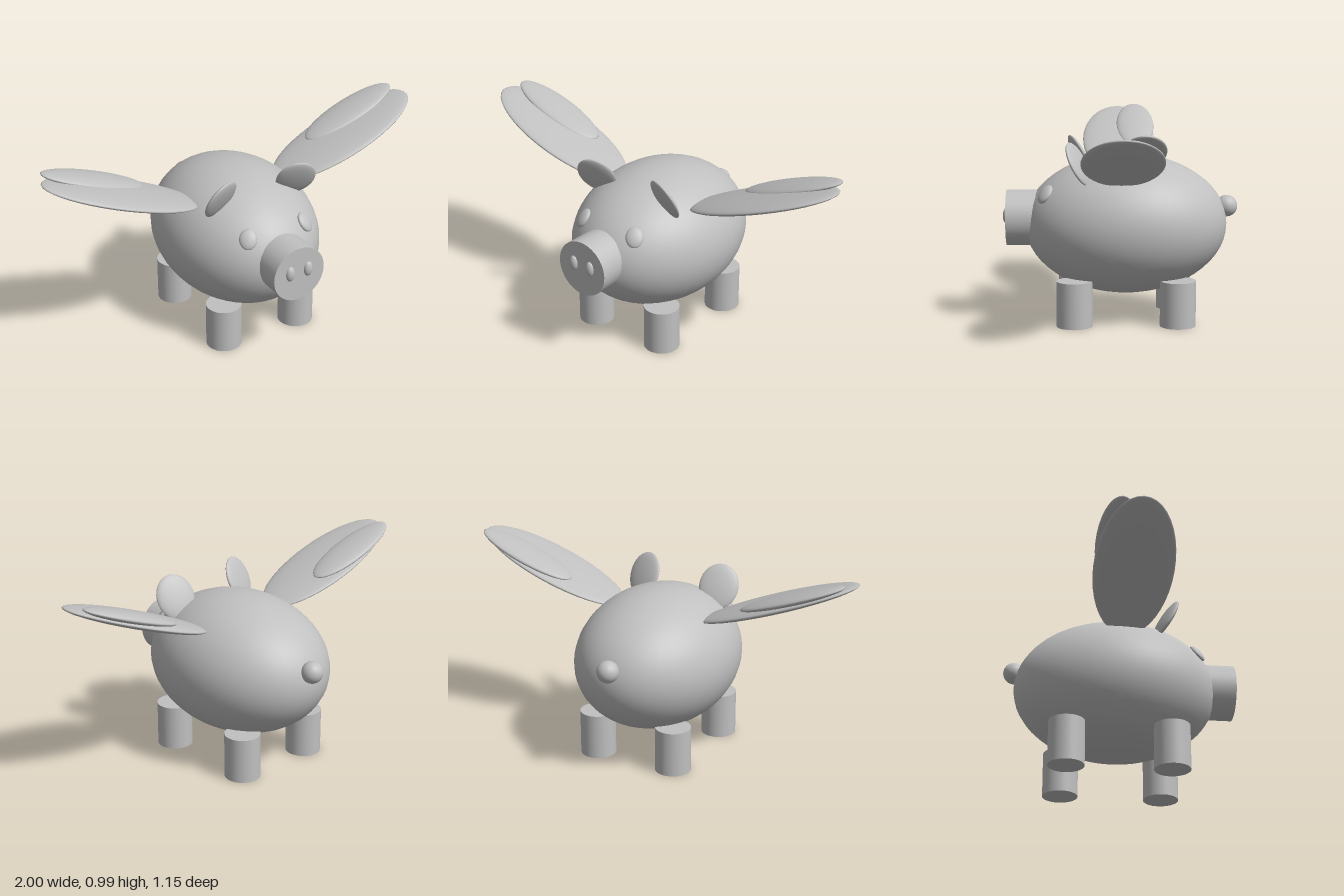
import * as THREE from 'three';

export function createModel() {
  const model = new THREE.Group();
  const grey = new THREE.MeshStandardMaterial({ color: 0xc0c0c0 });
  grey.name = 'plain grey';

  const add = (name, geometry, x, y, z, parent = model) => {
    const mesh = new THREE.Mesh(geometry, grey);
    mesh.name = name;
    mesh.position.set(x, y, z);
    parent.add(mesh);
    return mesh;
  };
  const ellipsoid = (rx, ry, rz, w = 32, h = 20) =>
    new THREE.SphereGeometry(1, w, h).scale(rx, ry, rz);

  // Body and tail
  const centre = new THREE.Vector3(0, 0.472, -0.025);
  const radii = new THREE.Vector3(0.385, 0.343, 0.497);
  add('body', ellipsoid(radii.x, radii.y, radii.z, 40, 28), centre.x, centre.y, centre.z);
  add('tail', ellipsoid(0.053, 0.053, 0.053), 0, 0.555, -0.522);

  // Snout: short cylinder pointing forward
  const snout = new THREE.CylinderGeometry(0.137, 0.137, 0.2, 40).rotateX(Math.PI / 2);
  add('snout', snout, 0, 0.5, 0.46);

  for (const side of [1, -1]) {
    const label = side > 0 ? 'left' : 'right';

    add(label + 'Nostril', ellipsoid(0.023, 0.038, 0.018), side * 0.049, 0.515, 0.559);

    // Eye lies flat on the body, facing along its surface normal
    const eye = add(label + 'Eye', ellipsoid(0.042, 0.05, 0.019), side * 0.157, 0.635, 0.365);
    const normal = eye.position.clone().sub(centre).divide(radii).divide(radii);
    eye.lookAt(eye.position.clone().add(normal));

    // Ear leans forward, with its outer edge turned to the front
    const ear = add(label + 'Ear', ellipsoid(0.097, 0.113, 0.021), side * 0.208, 0.785, 0.204);
    ear.rotation.set(0.47, -side * 0.3, 0);

    // Legs
    const leg = new THREE.CylinderGeometry(0.087, 0.087, 0.222, 32);
    add(label + 'FrontLeg', leg, side * 0.208, 0.111, 0.226);
    add(label + 'BackLeg', leg, side * 0.208, 0.111, -0.272);

    // Raised wing: a flat blade with a smaller feather on top
    const wing = new THREE.Group();
    wing.name = label + 'Wing';
    wing.position.set(side * 0.61, 0.829, 0);
    wing.rotation.z = side * 0.355;
    model.add(wing);
    add(label + 'WingBlade', ellipsoid(0.415, 0.03, 0.19, 40, 24), 0, 0, 0, wing);
    add(label + 'WingFeather', ellipsoid(0.268, 0.026, 0.1), side * 0.122, 0.025, -0.09, wing);
  }
  return model;
}
